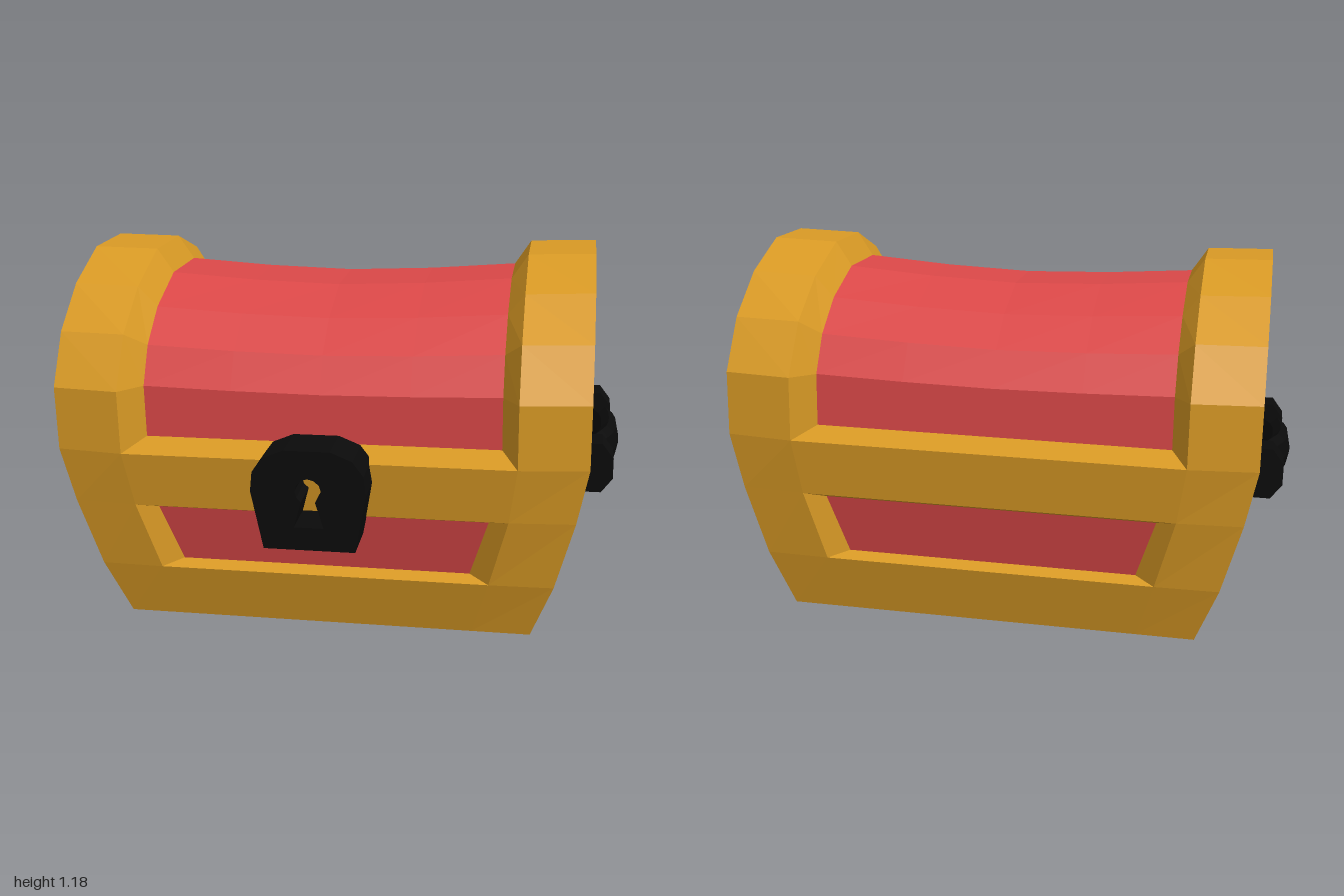
import * as THREE from 'three';

const mat = (name, color) => {
  const m = new THREE.MeshStandardMaterial({ color, side: THREE.DoubleSide, flatShading: true });
  m.name = name;
  return m;
};

// Flat surface stretched across a list of cross-sections (arrays of [x, y, z])
function skin(sections, closed = false) {
  const pos = [];
  for (let s = 0; s + 1 < sections.length; s++) {
    const a = sections[s], b = sections[s + 1], n = a.length;
    for (let i = 0; i < (closed ? n : n - 1); i++) {
      const j = (i + 1) % n;
      pos.push(...a[i], ...a[j], ...b[j], ...a[i], ...b[j], ...b[i]);
    }
  }
  const g = new THREE.BufferGeometry();
  g.setAttribute('position', new THREE.Float32BufferAttribute(pos, 3));
  g.computeVertexNormals();
  return g;
}

// Half arch [depth, height] mirrored to a full arch, placed at a given x
const arch = (half, x, drop = 0) => {
  const full = [...half, ...half.slice().reverse().map(([w, y]) => [-w, y])];
  const base = half[0][1], top = half[half.length - 1][1];
  return full.map(([w, y]) => [x, y - drop * (y - base) / (top - base), w]);
};

export function createModel() {
  const gold = mat('gold trim', 0xd99a25);
  const red = mat('red panel', 0xdb4848);
  const black = mat('black iron', 0x0b0b0b);

  const chest = new THREE.Group();
  chest.name = 'chest';
  const add = (name, geo, material, parent = chest) => {
    const m = new THREE.Mesh(geo, material);
    m.name = name;
    parent.add(m);
    return m;
  };

  // Body levels: height, end reach, front reach, corner depth, front opening, end opening
  const levels = [
    [0, 0.655, 0.47, 0.47, 0.47, 0.41],
    [0.19, 0.725, 0.525, 0.52, 0.525, 0.445],
    [0.42, 0.785, 0.57, 0.555, 0.585, 0.485],
    [0.6, 0.82, 0.6, 0.575, 0.61, 0.485],
  ];
  const frontRows = levels.map(([y, e, w, c, o]) =>
    [[-e, y, c], [-o, y, w], [o, y, w], [e, y, c]]);
  const endRows = levels.map(([y, e, w, c, o, p]) =>
    [[e, y, c], [e, y, p], [e, y, -p], [e, y, -c]]);

  // One wall: gold frame, bevelled recess and red panel
  function wall(name, rows, inset, parent) {
    const g = new THREE.Group();
    g.name = name;
    parent.add(g);
    add('lowerRail', skin([rows[0], rows[1]]), gold, g);
    add('upperRail', skin([rows[2], rows[3]]), gold, g);
    add('stile', skin([rows[1].slice(0, 2), rows[2].slice(0, 2)]), gold, g);
    add('stile', skin([rows[1].slice(2), rows[2].slice(2)]), gold, g);
    const outer = [rows[1][1], rows[1][2], rows[2][2], rows[2][1]];
    const inner = outer.map(inset);
    add('recess', skin([outer, inner], true), gold, g);
    add('panel', skin([[inner[0], inner[1]], [inner[3], inner[2]]]), red, g);
  }
  const shrink = (v) => v - Math.sign(v) * 0.062;
  const pinch = (y) => (y < 0.3 ? y + 0.015 : y - 0.02);

  // Lid arches: [depth, height] from the rim to the crown
  const outerArch = [[0.575, 0.6], [0.575, 0.8], [0.48, 0.955], [0.325, 1.075], [0.12, 1.155]];
  const innerArch = [[0.6, 0.6], [0.6, 0.8], [0.5, 0.955], [0.335, 1.07], [0.12, 1.15]];
  const lidArch = [[0.494, 0.625], [0.494, 0.79], [0.43, 0.905], [0.31, 1.0], [0.12, 1.072]];
  const openArch = [[0.485, 0.6], [0.485, 0.77], [0.405, 0.9], [0.28, 1.0], [0.1, 1.065]];
  const panelArch = [[0.425, 0.613], [0.425, 0.765], [0.36, 0.88], [0.25, 0.97], [0.09, 1.03]];

  // Handle parts shared by both ends
  const grip = new THREE.TubeGeometry(new THREE.CatmullRomCurve3([
    [0.81, 0.29], [0.835, 0.2], [0.878, 0.09], [0.885, 0], [0.878, -0.09], [0.835, -0.2], [0.81, -0.29],
  ].map(([x, z]) => new THREE.Vector3(x, 0, z))), 12, 0.034, 8);
  grip.scale(1, 2, 1);
  const bracket = new THREE.CylinderGeometry(0.087, 0.087, 0.095, 8);
  bracket.rotateY(Math.PI / 8).rotateX(Math.PI / 2).scale(0.75, 1, 1);

  // Front and right end, then the same turned half round
  for (const turn of [0, Math.PI]) {
    const half = new THREE.Group();
    half.name = turn ? 'backAndLeftHalf' : 'frontAndRightHalf';
    half.rotation.y = turn;
    chest.add(half);

    wall(turn ? 'backWall' : 'frontWall', frontRows,
      ([x, y, z]) => [shrink(x), pinch(y), z - 0.045], half);
    wall('endWall', endRows, ([x, y, z]) => [x - 0.04, pinch(y), shrink(z)], half);

    add('ledge', skin([
      [[-0.61, 0.6, 0.6], [0.61, 0.6, 0.6]],
      [[-0.558, 0.625, 0.494], [0.558, 0.625, 0.494]],
    ]), gold, half);

    // Arched lid band with its end recess
    add('lidBand', skin([
      arch(openArch, 0.82), arch(outerArch, 0.82), arch(innerArch, 0.61), arch(lidArch, 0.558),
    ]), gold, half);
    const rim = arch(panelArch, 0.785);
    add('lidEndRecess', skin([arch(openArch, 0.82), rim], true), gold, half);
    add('lidEndPanel', skin([rim, rim.map(() => [0.785, 0.7, 0])], true), red, half);

    // Carry handle
    const handle = new THREE.Group();
    handle.name = 'handle';
    handle.position.y = 0.515;
    half.add(handle);
    add('grip', grip, black, handle);
    for (const z of [-0.27, 0.27]) add('bracket', bracket, black, handle).position.set(0.835, 0, z);
  }

  // Sagging lid and flat underside
  add('lid', skin([[-0.558, 0], [-0.28, 0.02], [0, 0.03], [0.28, 0.02], [0.558, 0]]
    .map(([x, drop]) => arch(lidArch, x, drop))), red);
  add('underside', skin([
    [[-0.655, 0, -0.47], [0.655, 0, -0.47]], [[-0.655, 0, 0.47], [0.655, 0, 0.47]],
  ]), gold);

  // Lock plate with a keyhole cut through it
  const side = [[0.14, 0.357], [0.175, 0.54], [0.168, 0.6], [0.135, 0.645], [0.07, 0.672]];
  const plate = new THREE.Shape([...side, ...side.slice().reverse().map(([x, y]) => [-x, y])]
    .map(([x, y]) => new THREE.Vector2(x, y)));
  const hole = new THREE.Path();
  hole.moveTo(-0.045, 0.43);
  hole.lineTo(-0.022, 0.51);
  hole.absarc(0, 0.545, 0.04, Math.PI * 1.32, -Math.PI * 0.32, true);
  hole.lineTo(0.045, 0.43);
  hole.closePath();
  plate.holes.push(hole);
  add('lock', new THREE.ExtrudeGeometry(plate, { depth: 0.15, bevelEnabled: false, curveSegments: 5 }), black)
    .position.z = 0.555;

  // The chest stands turned and leans very slightly
  chest.rotation.y = -THREE.MathUtils.degToRad(31);
  const model = new THREE.Group();
  model.name = 'treasureChest';
  const lean = new THREE.Group();
  lean.name = 'leaningChest';
  lean.rotation.z = 0.019;
  lean.position.y = 0.0155;
  lean.add(chest);
  model.add(lean);
  return model;
}
